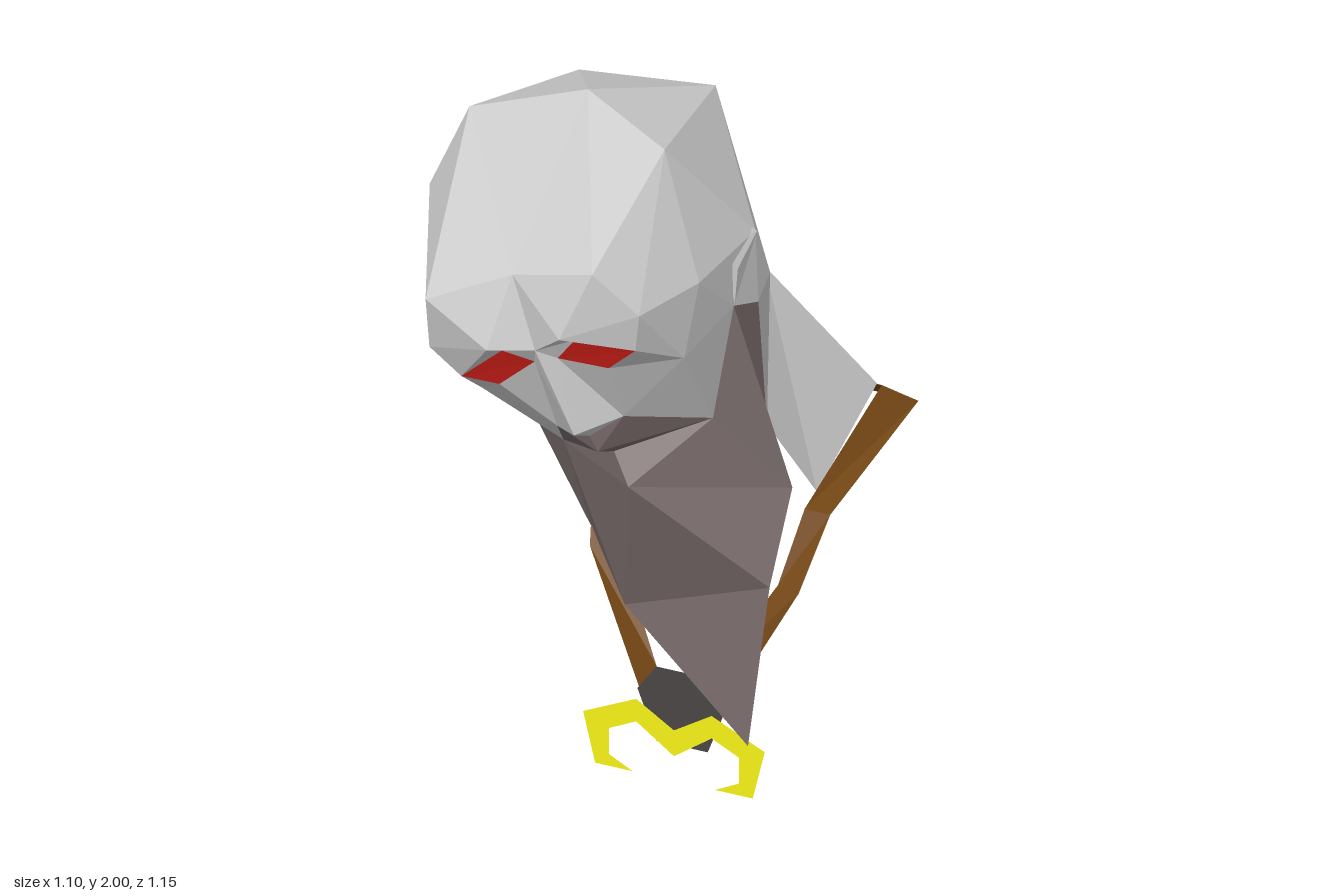
import * as THREE from 'three';
import { ConvexGeometry } from 'three/addons/geometries/ConvexGeometry.js';

const mat = (color) => new THREE.MeshStandardMaterial({ color, flatShading: true, side: THREE.DoubleSide });
const grey = mat(0xcccccc), cloth = mat(0x786a6a), red = mat(0xb81a14);
const brown = mat(0x754715), dark = mat(0x4a4545), yellow = mat(0xf6f216);

// The head leans sideways: its mirror plane passes through (ox, oy) with normal (rx, ry)
const ox = -0.27, oy = 1.925, rx = 0.93, ry = 0.367;
const shift = ([x, y, z], k) => {
  const d = k * ((x - ox) * rx + (y - oy) * ry);
  return [x - d * rx, y - d * ry, z];
};
const flipHead = (p) => shift(p, 2);
const mid = (...p) => shift(p, 1); // point on the mirror plane
const flipCollar = ([x, y, z]) => [0.42 - x, y, z];

// Facets from polygons, each turned to face away from the centre
function facets(name, material, polys, centre) {
  const c = new THREE.Vector3(...centre), pos = [];
  for (const poly of polys) {
    const v = poly.map((p) => new THREE.Vector3(...p));
    for (let i = 1; i < v.length - 1; i++) {
      let t = [v[0], v[i], v[i + 1]];
      const n = t[1].clone().sub(t[0]).cross(t[2].clone().sub(t[0]));
      if (n.dot(t[0].clone().add(t[1]).add(t[2]).divideScalar(3).sub(c)) < 0) t = [t[0], t[2], t[1]];
      t.forEach((p) => pos.push(p.x, p.y, p.z));
    }
  }
  const g = new THREE.BufferGeometry();
  g.setAttribute('position', new THREE.Float32BufferAttribute(pos, 3));
  g.computeVertexNormals();
  const m = new THREE.Mesh(g, material);
  m.name = name;
  return m;
}

// Flat outline in the xy plane at depth z
function plate(name, material, pts, z) {
  const m = new THREE.Mesh(new THREE.ShapeGeometry(new THREE.Shape(pts.map((p) => new THREE.Vector2(...p)))), material);
  m.position.z = z;
  m.name = name;
  return m;
}

export function createModel() {
  const model = new THREE.Group();
  const both = (polys, flip) => [...polys, ...polys.map((p) => p.map(flip))];

  // Skull landmarks on the left half
  const crown = [-0.10, 2.0, 0.118], side = [0.14, 1.89, 0.154], back = [0.10, 1.85, -0.27];
  const forehead = [0.10, 1.70, 0.538], temple = [0.22, 1.58, 0.50], earRoot = [0.295, 1.58, 0.275];
  const brow = [0.02, 1.50, 0.577], cheek = [0.285, 1.385, 0.35], jaw = [0.30, 1.12, 0.196];
  const wing = [0.13, 1.195, 0.40], nape = [0.21, 1.275, -0.345], behindEar = [0.29, 1.355, -0.20];
  const jawTop = [0.325, 1.43, 0.116], neckTop = [0.345, 1.385, 0], earBack = [0.32, 1.58, -0.037];
  const e1 = [-0.02, 1.39, 0.495], e2 = [0.035, 1.465, 0.505], e3 = [0.205, 1.465, 0.492], e4 = [0.125, 1.39, 0.488];
  // Landmarks on the middle line
  const crest = mid(-0.26, 1.87, -0.16), frontMid = mid(-0.15, 1.62, 0.50), bridge = mid(-0.07, 1.42, 0.53);
  const noseTip = mid(0.03, 1.165, 0.50), noseBase = mid(0.045, 1.13, 0.43);
  const lip = mid(0.065, 1.08, 0.42), underLip = mid(0.08, 1.045, 0.345), chin = [0.135, 0.965, 0.38];
  const jawR = flipHead(jaw), jawTopR = flipHead(jawTop);

  const headCentre = [-0.05, 1.45, 0.1];
  model.add(facets('head', grey, [
    ...both([
      [crest, crown, back], [crown, side, back], [crown, side, forehead], [crown, forehead, frontMid],
      [side, forehead, temple], [side, temple, earRoot], [side, earRoot, earBack, back],
      [earRoot, earBack, jawTop], [earBack, jawTop, neckTop],
      [back, earBack, neckTop], [back, neckTop, behindEar], [back, behindEar, nape],
      [temple, earRoot, cheek], [earRoot, cheek, jawTop], [cheek, jaw, jawTop],
      [forehead, frontMid, brow], [forehead, brow, temple], [frontMid, brow, bridge],
      [brow, temple, e3], [brow, e3, e2], [brow, e2, bridge], [e2, e1, bridge],
      [temple, e3, cheek], [e3, e4, cheek], [e4, cheek, wing], [e4, e1, wing],
      [e1, bridge, noseTip], [e1, noseTip, wing], [noseTip, noseBase, wing], [cheek, wing, jaw],
    ], flipHead),
    [crest, crown, flipHead(crown)], [crest, back, flipHead(back)],
    [crown, flipHead(crown), frontMid], [back, nape, flipHead(nape), flipHead(back)],
  ], headCentre));
  model.add(facets('eyes', red, both([[e1, e2, e3, e4]], flipHead), headCentre));
  model.add(facets('mouth', cloth, [
    ...both([[noseBase, wing, lip], [wing, lip, jaw], [lip, jaw, underLip]], flipHead),
    [underLip, jaw, chin], [underLip, jawR, chin],
  ], headCentre));

  // Ears, lying along the edge above the jaw
  const ear = [[0.25, 1.605, 0], [0.285, 1.62, -0.015], [0.325, 1.58, -0.037], [0.29, 1.58, 0.115],
    [0.325, 1.53, 0.09], [0.327, 1.44, 0.113], [0.28, 1.46, 0.1]];
  [ear, ear.map(flipHead)].forEach((pts, i) => {
    const m = new THREE.Mesh(new ConvexGeometry(pts.map((p) => new THREE.Vector3(...p))), grey);
    m.name = i ? 'rightEar' : 'leftEar';
    model.add(m);
  });

  // Neck, open below
  const neckL = [0.37, 1.01, 0], neckR = [-0.2, 1.0, 0];
  const baseFL = [0.48, 0.785, -0.08], baseBL = [0.465, 0.885, -0.508];
  const baseFR = flipCollar(baseFL), baseBR = flipCollar(baseBL);
  const napeR = flipHead(nape), behindR = flipHead(behindEar), topR = flipHead(neckTop);
  model.add(facets('neck', grey, [
    [nape, napeR, baseBR, baseBL],
    [nape, neckL, baseFL], [nape, baseFL, baseBL], [nape, behindEar, neckL], [behindEar, neckTop, neckL],
    [napeR, neckR, baseFR], [napeR, baseFR, baseBR], [napeR, behindR, neckR], [behindR, topR, neckR],
  ], [0.15, 1.05, -0.2]));

  // Pointed cloth hanging from the jaw
  const b1 = [0.48, 0.885, 0.08], b2 = [0.48, 0.655, 0.23], tip = [0.435, 0.175, 0.27];
  const b3 = [0.06, 0.505, 0.235], b4 = [-0.10, 0.61, 0.08];
  model.add(facets('throatCloth', cloth, [
    [jawTop, jaw, b1], [jaw, chin, b1], [chin, b1, b2], [chin, b2, b3], [b2, tip, b3],
    [chin, b3, jawR], [jawR, b3, b4], [jawR, jawTopR, b4],
    [jawTop, neckTop, neckL], [jawTop, neckL, b1],
    [jawTopR, topR, neckR], [jawTopR, neckR, b4],
  ], [0.15, 0.9, 0]));

  // Collar strap, outer and inner edge from the back corner to the clasp
  const outer = [[0.555, 0.815, -0.577], [0.555, 0.775, 0], [0.515, 0.585, 0.116], [0.335, 0.23, 0.195]];
  const inner = [[0.48, 0.885, -0.505], [0.48, 0.775, 0], [0.44, 0.575, 0.085], [0.285, 0.31, 0.195]];
  const strap = [];
  for (let i = 0; i < 3; i++) strap.push([outer[i], outer[i + 1], inner[i + 1], inner[i]]);
  model.add(facets('collar', brown, [
    ...both(strap, flipCollar),
    [outer[0], inner[0], flipCollar(inner[0]), flipCollar(outer[0])],
  ], [0.21, 0.6, -0.2]));

  // Clasp and its claw-shaped ornament
  const mirrored = (half) => [...half, ...half.slice().reverse().map(([x, y]) => [0.42 - x, y])];
  model.add(plate('clasp', dark, mirrored([[0.285, 0.31], [0.34, 0.23], [0.285, 0.08]]), 0.197));
  model.add(plate('clawOrnament', yellow, mirrored([
    [0.212, 0.16], [0.32, 0.23], [0.475, 0.155], [0.44, 0.003], [0.33, 0.003],
    [0.40, 0.04], [0.40, 0.12], [0.32, 0.16], [0.212, 0.08],
  ]), 0.25));
  return model;
}
